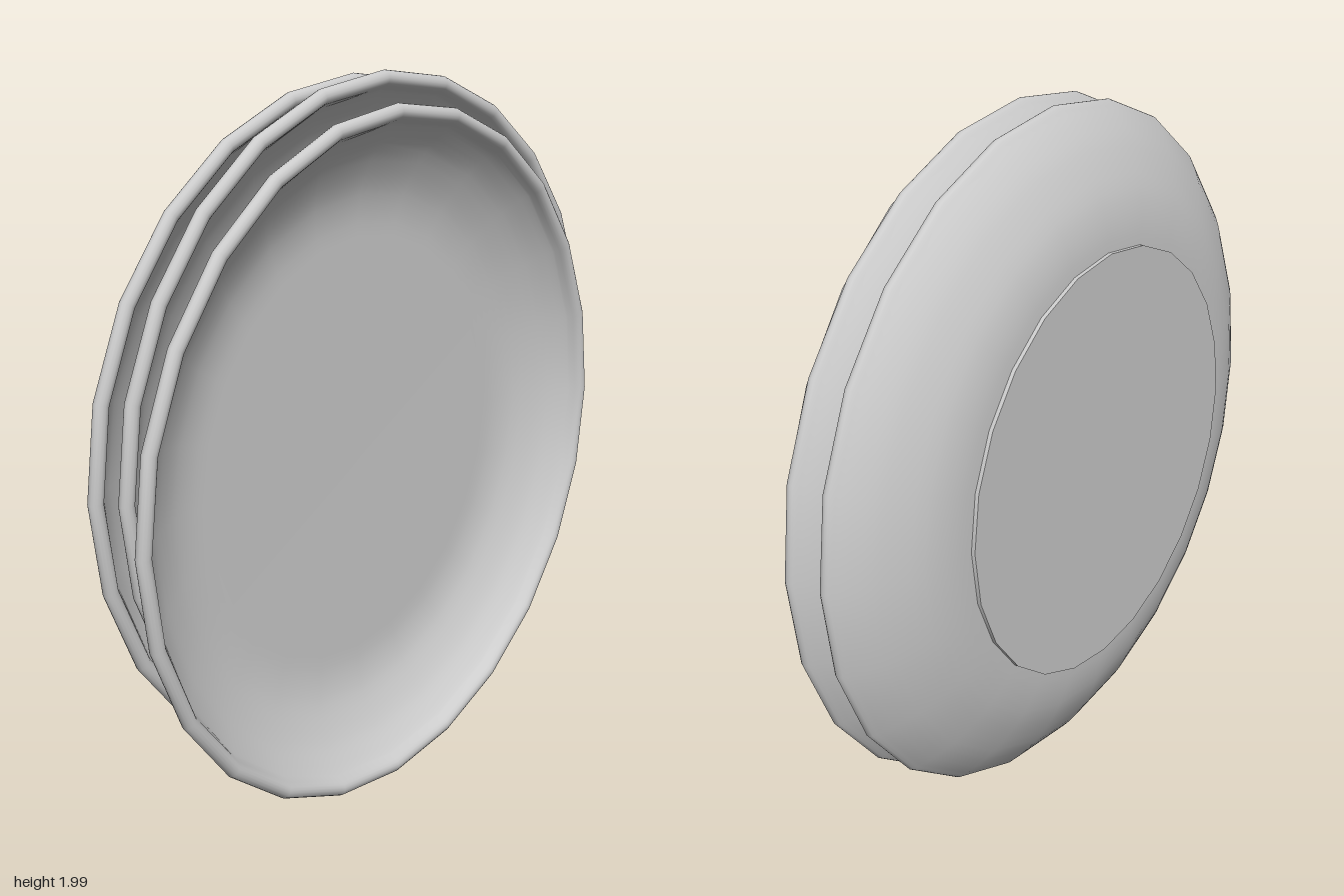
import * as THREE from 'three';

const SIDES = 24;
const material = new THREE.MeshStandardMaterial({ color: 0xcccccc });

// Smooth curve through a few [radius, depth] points
const smooth = (pts, n) =>
  new THREE.SplineCurve(pts.map(([r, d]) => new THREE.Vector2(r, d))).getPoints(n);

// Cross-section from the centre of the underside, round the rim, to the centre of the floor
function plateProfile() {
  const outer = smooth([[0.58, -0.185], [0.66, -0.179], [0.75, -0.157], [0.85, -0.11], [0.91, -0.069], [0.945, -0.038]], 15);
  const rim = smooth([[0.953, -0.031], [0.958, -0.02], [0.953, -0.007], [0.938, 0], [0.923, -0.005], [0.914, -0.018]], 10);
  const inner = smooth([[0.907, -0.031], [0.885, -0.053], [0.83, -0.094], [0.74, -0.135], [0.66, -0.152], [0.59, -0.155]], 15);
  return [new THREE.Vector2(0, -0.185), ...outer, ...rim, ...inner, new THREE.Vector2(0, -0.155)];
}

// Plate whose hollow side faces +z, rim at local z = 0
function makePlate(name) {
  const plate = new THREE.Group();
  plate.name = name;

  const dish = new THREE.Mesh(new THREE.LatheGeometry(plateProfile(), SIDES).rotateX(Math.PI / 2), material);
  dish.name = 'dish';

  // Thin flat foot on the underside
  const foot = new THREE.Mesh(new THREE.CylinderGeometry(0.6, 0.6, 0.014, SIDES).rotateX(Math.PI / 2), material);
  foot.name = 'foot';
  foot.position.z = -0.188;

  plate.add(dish, foot);
  return plate;
}

export function createModel() {
  const group = new THREE.Group();
  group.name = 'plateStack';

  // Slightly uneven stack; the front plate leans to one side
  const plates = [
    ['backPlate', 0.021, 1.02, -0.025, 0],
    ['middlePlate', 0.042, 1.032, 0.065, 0],
    ['frontPlate', -0.042, 0.961, 0.184, 0.035],
  ];
  for (const [name, x, y, z, lean] of plates) {
    const plate = makePlate(name);
    plate.position.set(x, y, z);
    plate.rotation.y = lean;
    group.add(plate);
  }
  return group;
}
